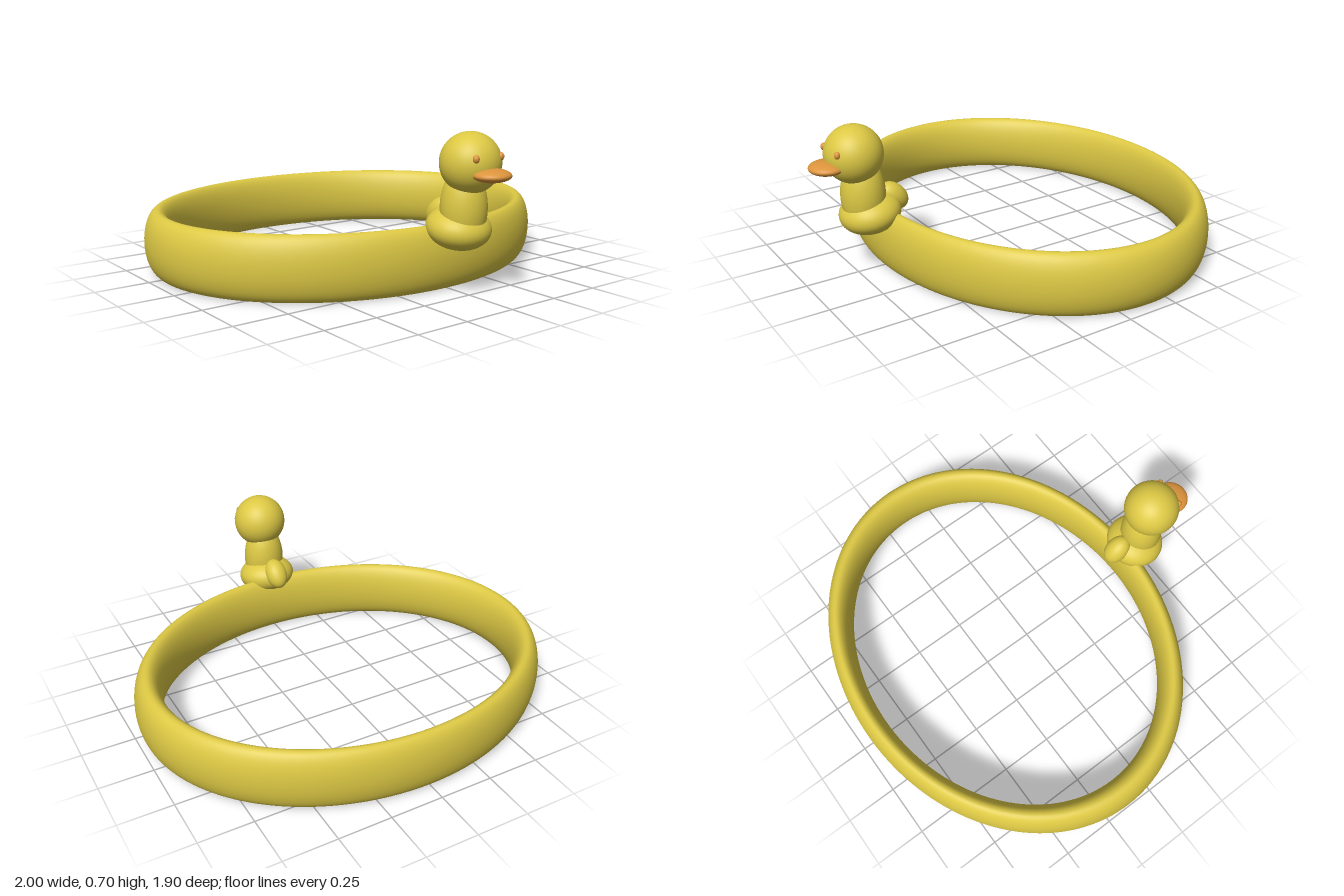
import * as THREE from 'three';

export function createModel() {
  const model = new THREE.Group();
  model.name = 'duckRing';

  const yellow = new THREE.MeshStandardMaterial({ color: 0xdcc844 });
  yellow.name = 'duck yellow';
  const orange = new THREE.MeshStandardMaterial({ color: 0xdc943c });
  orange.name = 'beak orange';

  // Oval band: a torus laid flat, stretched in height and squashed front to back
  const radius = 0.9325, tube = 0.0675;
  const bandGeometry = new THREE.TorusGeometry(radius, tube, 48, 160);
  bandGeometry.rotateX(Math.PI / 2);
  bandGeometry.scale(1, 0.145 / tube, 0.805);
  const band = new THREE.Mesh(bandGeometry, yellow);
  band.name = 'band';
  band.position.set(0, 0.145, -0.145);
  model.add(band);

  // Every part of the duck is a smooth ellipsoid
  const duck = new THREE.Group();
  duck.name = 'duck';
  model.add(duck);

  const sphere = new THREE.SphereGeometry(1, 48, 32);
  function ellipsoid(name, material, position, radii, tilt = 0) {
    const mesh = new THREE.Mesh(sphere, material);
    mesh.name = name;
    mesh.position.set(...position);
    mesh.scale.set(...radii);
    mesh.rotation.x = tilt;
    duck.add(mesh);
  }

  ellipsoid('body', yellow, [0, 0.282, 0.677], [0.143, 0.092, 0.14], 0.17);
  ellipsoid('neck', yellow, [0, 0.37, 0.706], [0.102, 0.18, 0.1]);
  ellipsoid('head', yellow, [0, 0.568, 0.741], [0.131, 0.131, 0.131]);
  ellipsoid('tail', yellow, [0, 0.332, 0.558], [0.055, 0.055, 0.08], -Math.PI / 4);
  ellipsoid('beak', orange, [0, 0.53, 0.865], [0.084, 0.029, 0.082]);

  // Eyes, mirrored
  for (const side of [-1, 1]) {
    ellipsoid(side > 0 ? 'leftEye' : 'rightEye', orange,
      [side * 0.07, 0.6, 0.846], [0.014, 0.017, 0.014]);
  }

  return model;
}
